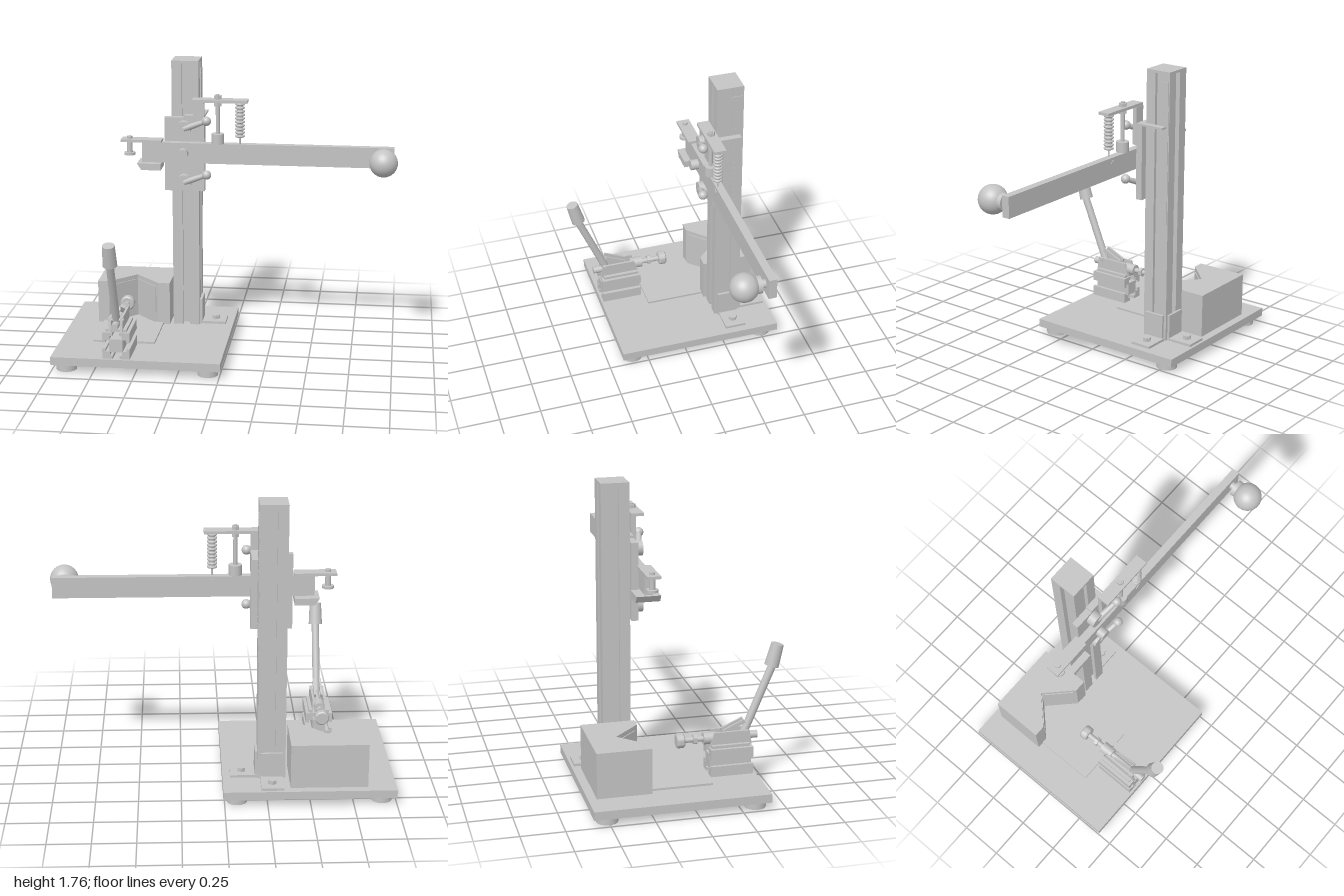
import * as THREE from 'three';
import { toCreasedNormals } from 'three/addons/utils/BufferGeometryUtils.js';

export function createModel() {
  const model = new THREE.Group();
  model.name = 'leverTestStand';
  const grey = new THREE.MeshStandardMaterial({ color: 0xc4c4c4 });
  grey.name = 'machineGrey';

  const add = (name, geo) => {
    const mesh = new THREE.Mesh(geo, grey);
    mesh.name = name;
    model.add(mesh);
    return mesh;
  };
  // box given by its limits on each axis
  const box = (name, x0, x1, y0, y1, z0, z1) => {
    const m = add(name, new THREE.BoxGeometry(x1 - x0, y1 - y0, z1 - z0));
    m.position.set((x0 + x1) / 2, (y0 + y1) / 2, (z0 + z1) / 2);
    return m;
  };
  // cylinder or cone between two points
  const rod = (name, a, b, r0, r1 = r0, sides = 28) => {
    const p = new THREE.Vector3(...a), q = new THREE.Vector3(...b);
    const d = q.clone().sub(p);
    let geo = new THREE.CylinderGeometry(r1, r0, d.length(), sides);
    if (sides <= 8) geo = toCreasedNormals(geo, 0.4);
    const m = add(name, geo);
    m.position.copy(p).add(q).multiplyScalar(0.5);
    m.quaternion.setFromUnitVectors(new THREE.Vector3(0, 1, 0), d.normalize());
    return m;
  };
  const ball = (name, r, x, y, z) => add(name, new THREE.SphereGeometry(r, 32, 20)).position.set(x, y, z);
  const extrude = (pts, depth) => new THREE.ExtrudeGeometry(
    new THREE.Shape(pts.map(p => new THREE.Vector2(...p))), { depth, bevelEnabled: false });

  // square bar profile with a stepped slot in each side
  const slotProfile = () => {
    const h = 0.0815;
    const side = [[h, -h], [h, -0.02], [0.062, -0.02], [0.062, -0.036], [0.04, -0.036],
      [0.04, 0.036], [0.062, 0.036], [0.062, 0.02], [h, 0.02]];
    const pts = [];
    for (let i = 0; i < 4; i++) {
      const c = Math.round(Math.cos(i * Math.PI / 2)), s = Math.round(Math.sin(i * Math.PI / 2));
      side.forEach(([x, y]) => pts.push([x * c - y * s, x * s + y * c]));
    }
    return pts;
  };

  // base plate and feet
  box('basePlate', -1, 0.008, 0.045, 0.095, -0.593, 0.415);
  for (const x of [-0.918, -0.073]) for (const z of [0.34, -0.505])
    rod('foot', [x, 0, z], [x, 0.046, z], 0.061);
  box('floorPlate', -0.797, -0.423, 0.095, 0.107, -0.23, 0.13);

  // column with cap and scale
  const column = add('column', extrude(slotProfile(), 1.65));
  column.rotation.x = -Math.PI / 2;
  column.position.set(-0.28, 0.095, -0.324);
  box('columnCap', -0.3615, -0.1985, 1.742, 1.757, -0.4055, -0.2425);
  box('scale', -0.1985, -0.1945, 0.83, 1.695, -0.4, -0.332);
  for (let i = 0; i < 22; i++) box('scaleMark', -0.1945, -0.1935, 0.85 + i * 0.039, 0.853 + i * 0.039, -0.365, -0.34);

  // angle brackets bolted to the base
  box('sideBracketWall', -0.1985, -0.183, 0.095, 0.257, -0.39, -0.262);
  box('sideBracketFoot', -0.1985, -0.038, 0.095, 0.11, -0.398, -0.268);
  rod('sideBolt', [-0.106, 0.11, -0.333], [-0.106, 0.133, -0.333], 0.026, 0.026, 6);
  box('rearBracketWall', -0.345, -0.215, 0.095, 0.257, -0.42, -0.4055);
  box('rearBracketFoot', -0.345, -0.213, 0.095, 0.11, -0.576, -0.4055);
  rod('rearBolt', [-0.28, 0.11, -0.506], [-0.28, 0.133, -0.506], 0.026, 0.026, 6);

  // V block, with lining plates on the notch faces
  const vBlock = add('vBlock', extrude([[-0.834, 0.228], [-0.765, 0.228], [-0.61, 0.383], [-0.455, 0.228],
    [-0.383, 0.228], [-0.383, 0.543], [-0.834, 0.543]], 0.268));
  vBlock.rotation.x = -Math.PI / 2;
  vBlock.position.y = 0.095;
  for (const s of [-1, 1]) {
    const plate = add('vLining', new THREE.BoxGeometry(0.19, 0.17, 0.008));
    plate.position.set(-0.61 + s * 0.071, 0.251, -0.31);
    plate.rotation.y = -s * Math.PI / 4;
  }

  // carriage and its side pointer
  box('carriage', -0.4, -0.158, 0.968, 1.42, -0.2425, -0.202);
  box('pointer', -0.197, -0.158, 1.422, 1.434, -0.385, -0.202);
  box('pointerMount', -0.28, -0.158, 1.42, 1.434, -0.2425, -0.202);

  // clamping levers
  for (const y of [1.36, 1.03]) {
    rod('leverHub', [-0.28, y, -0.205], [-0.28, y, -0.155], 0.045);
    rod('leverStem', [-0.275, y, -0.17], [-0.138, y + 0.056, -0.14], 0.02, 0.014);
    ball('leverKnob', 0.028, -0.138, y + 0.056, -0.14);
  }

  // arm with pivot and ball handle
  box('arm', -0.53, 0.978, 1.153, 1.276, -0.198, -0.152);
  rod('pivotPin', [-0.28, 1.215, -0.202], [-0.28, 1.215, -0.105], 0.031);
  rod('springPin', [0.06, 1.242, -0.202], [0.06, 1.242, -0.148], 0.018);
  rod('handleNeck', [0.917, 1.215, -0.155], [0.917, 1.215, -0.12], 0.024);
  rod('handleCollar', [0.917, 1.215, -0.126], [0.917, 1.215, -0.1], 0.05);
  ball('handleBall', 0.083, 0.917, 1.215, -0.033);

  // arm tip: top plate, press pin and lower jaw
  box('tipPlate', -0.656, -0.41, 1.276, 1.292, -0.213, -0.135);
  rod('pressPin', [-0.608, 1.202, -0.174], [-0.608, 1.292, -0.174], 0.017);
  rod('pressDisc', [-0.608, 1.193, -0.174], [-0.608, 1.208, -0.174], 0.034);
  rod('pressPinHead', [-0.608, 1.292, -0.174], [-0.608, 1.307, -0.174], 0.016);
  const jaw = add('lowerJaw', extrude([[-0.556, 1.153], [-0.53, 1.113], [-0.412, 1.113], [-0.412, 1.153]], 0.14));
  jaw.position.z = -0.25;

  // stop bracket over the arm
  box('stopPost', -0.223, -0.158, 1.3, 1.529, -0.202, -0.175);
  box('stopBar', -0.223, 0.107, 1.529, 1.546, -0.2, -0.127);
  rod('stopScrew', [-0.073, 1.3, -0.165], [-0.073, 1.575, -0.165], 0.012);
  rod('stopFoot', [-0.073, 1.276, -0.165], [-0.073, 1.337, -0.165], 0.038);
  for (const [a, b] of [[1.504, 1.529], [1.546, 1.568]])
    rod('stopNut', [-0.073, a, -0.165], [-0.073, b, -0.165], 0.023, 0.023, 6);

  // return spring
  for (let i = 0; i < 10; i++) {
    const ring = add('springCoil', new THREE.TorusGeometry(0.022, 0.0075, 8, 28));
    ring.rotation.x = Math.PI / 2;
    ring.position.set(0.06, 1.326 + i * 0.0215, -0.165);
  }
  rod('springGuide', [0.06, 1.32, -0.165], [0.06, 1.535, -0.165], 0.018);
  rod('springHook', [0.06, 1.27, -0.165], [0.06, 1.33, -0.165], 0.005);

  // toggle clamp riser made of the same slotted bar
  const X = -0.608, Y = 0.303;
  const riser = add('clampRiser', extrude(slotProfile(), 0.25));
  riser.position.set(X, 0.1765, 0.15);

  // clamp body: flange and two side cheeks
  box('clampFlange', X - 0.062, X + 0.062, 0.258, 0.274, 0.16, 0.385);
  for (const s of [-1, 1]) {
    const cheek = add('clampCheek', extrude([[-0.4, 0.262], [-0.388, 0.345], [-0.18, 0.345], [-0.155, 0.262]], 0.014));
    cheek.rotation.y = Math.PI / 2;
    cheek.position.x = X + s * 0.034 - 0.007;
  }

  // plunger along z
  const plunger = [['plungerRear', 0.442, 0.36, 0.022], ['plungerRod', 0.4, 0, 0.016],
    ['plungerGuide', 0.2, 0.122, 0.034], ['plungerNut', 0.085, 0.063, 0.029]];
  for (const [name, z0, z1, r] of plunger) rod(name, [X, Y, z0], [X, Y, z1], r, r, name === 'plungerNut' ? 6 : 28);
  const head = add('plungerHead', toCreasedNormals(new THREE.LatheGeometry(
    [[0, -0.037], [0.036, -0.037], [0.043, -0.03], [0.043, 0.003], [0.036, 0.01], [0, 0.01]]
      .map(p => new THREE.Vector2(...p)), 28), 0.6));
  head.rotation.x = Math.PI / 2;
  head.position.set(X, Y, 0);

  // links and hand lever
  for (const s of [-1, 1]) {
    const link = add('clampLink', new THREE.BoxGeometry(0.012, 0.022, 0.14));
    link.position.set(X + s * 0.02, 0.368, 0.298);
    link.rotation.x = -0.42;
  }
  rod('linkPin', [X - 0.045, 0.33, 0.37], [X + 0.045, 0.33, 0.37], 0.014);
  rod('handLever', [X, 0.32, 0.363], [X, 0.715, 0.528], 0.023);
  rod('handGrip', [X, 0.71, 0.522], [X, 0.838, 0.556], 0.042, 0.036);

  return model;
}
